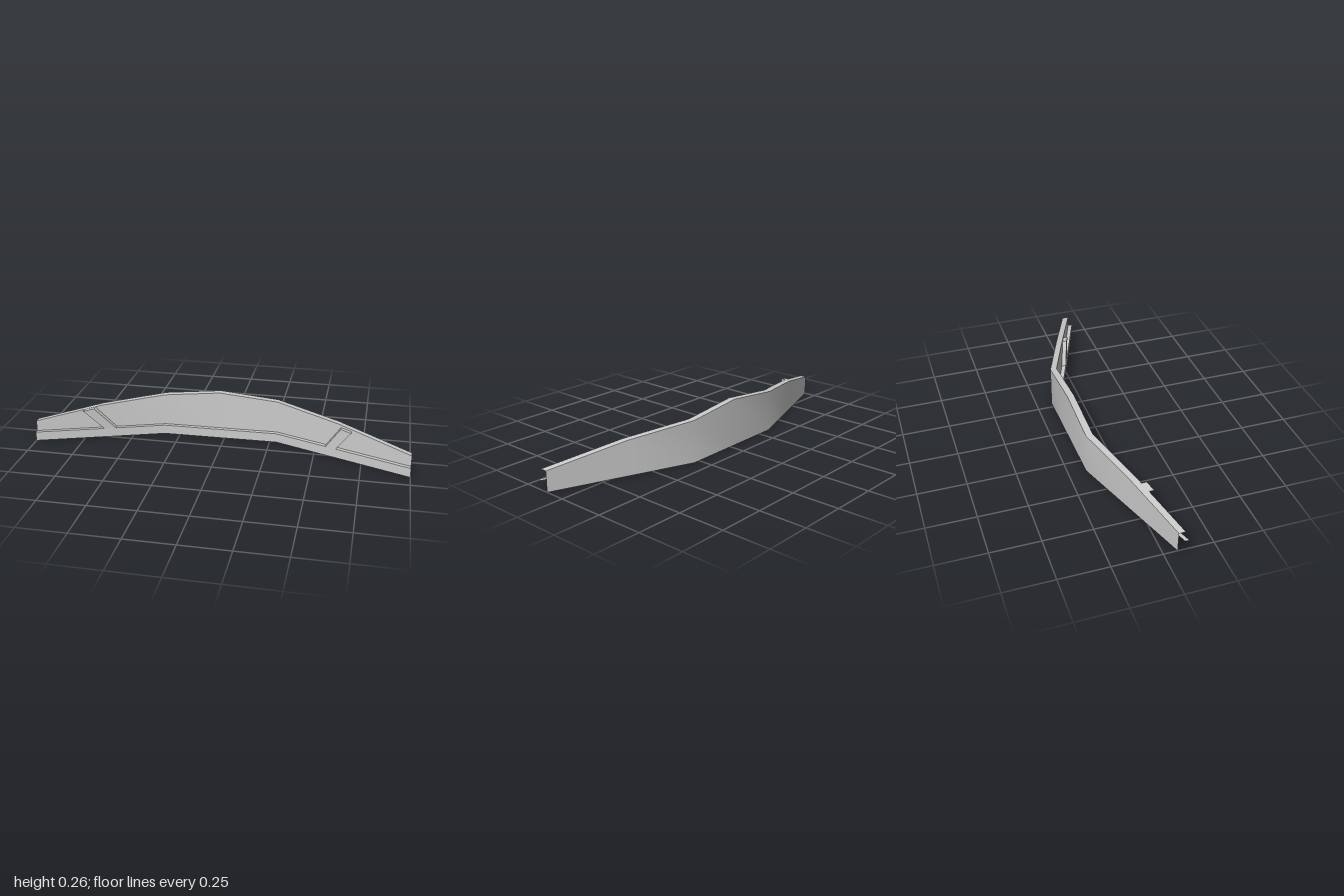
import * as THREE from 'three';
import { toCreasedNormals } from 'three/addons/utils/BufferGeometryUtils.js';

const LEDGE = 0.05; // height of the step along the foot

// Plan corners: x, then z of the back, the upper front and the ledge front
const plan = [
  [-1, 0.07, 0.104, 0.125],
  [-0.335, -0.157, -0.12, -0.099],
  [0.285, -0.166, -0.131, -0.107],
  [1, 0.107, 0.143, 0.167],
];
// Top edge: x, y
const crest = [[-1, 0.108], [-0.66, 0.181], [-0.335, 0.223], [-0.03, 0.256], [0.285, 0.226], [0.62, 0.185], [1, 0.108]];

// Linear lookup of a column in a table sorted by x
function sample(table, x, col) {
  let i = 0;
  while (i < table.length - 2 && x > table[i + 1][0]) i++;
  const a = table[i], b = table[i + 1];
  return a[col] + (b[col] - a[col]) * (x - a[0]) / (b[0] - a[0]);
}

// Joins rings of points into a closed solid; caps lists the ring corners of each cap triangle
function loft(rings, caps) {
  const pos = [];
  const tri = (a, b, c) => pos.push(...a, ...b, ...c);
  const n = rings[0].length;
  for (let i = 0; i < rings.length - 1; i++) {
    const r = rings[i], s = rings[i + 1];
    for (let j = 0; j < n; j++) {
      const k = (j + 1) % n;
      tri(r[j], s[k], s[j]);
      tri(r[j], r[k], s[k]);
    }
  }
  const first = rings[0], last = rings[rings.length - 1];
  for (const [a, b, c] of caps) {
    tri(first[a], first[c], first[b]);
    tri(last[a], last[b], last[c]);
  }
  const geo = new THREE.BufferGeometry();
  geo.setAttribute('position', new THREE.Float32BufferAttribute(pos, 3));
  return toCreasedNormals(geo, 0.6);
}

export function createModel() {
  const group = new THREE.Group();
  const material = new THREE.MeshStandardMaterial({ color: 0xcccccc });
  const add = (name, geo) => {
    const mesh = new THREE.Mesh(geo, material);
    mesh.name = name;
    group.add(mesh);
  };

  // Bent wall with a stepped foot; section runs back-top, back-foot, ledge, front-top
  const rings = crest.map(([x, top]) => {
    const [back, front, ledge] = [1, 2, 3].map((c) => sample(plan, x, c));
    return [
      [x, top, back], [x, top, front], [x, LEDGE, front],
      [x, LEDGE, ledge], [x, 0, ledge], [x, 0, back],
    ];
  });
  add('wall', loft(rings, [[0, 2, 1], [0, 5, 2], [5, 3, 2], [5, 4, 3]]));

  // Slanted ribs rising from the ledge: corners anticlockwise from the foot, and extra depth at the top
  const ribs = {
    rightRib: { corners: [[-0.65, LEDGE], [-0.59, LEDGE], [-0.695, 0.172], [-0.75, 0.161]], lean: 0.006 },
    leftRib: { corners: [[0.56, LEDGE], [0.615, LEDGE], [0.69, 0.16], [0.635, 0.168]], lean: 0 },
  };
  for (const [name, { corners, lean }] of Object.entries(ribs)) {
    const inner = corners.map(([x, y]) => [x, y, sample(plan, x, 2) - 0.01]);
    const outer = corners.map(([x, y]) => [x, y, sample(plan, x, 3) + (y > LEDGE ? lean : 0)]);
    add(name, loft([inner, outer], [[0, 1, 2], [0, 2, 3]]));
  }
  return group;
}
